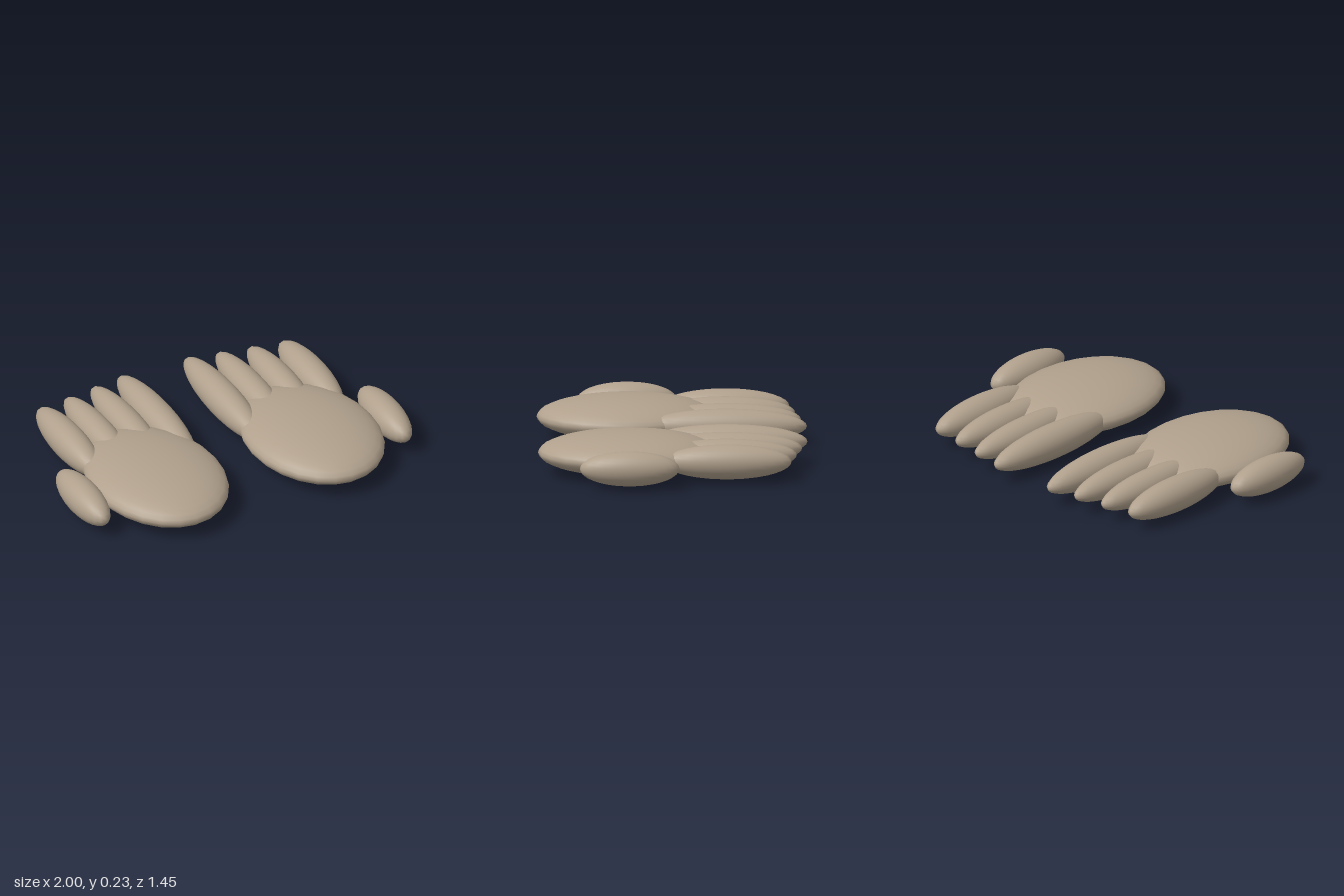
import * as THREE from 'three';

const skin = new THREE.MeshStandardMaterial({ color: 0xb0a08c });
skin.name = 'skin';

const MID_Y = 0.113;

// Smooth ellipsoid given its centre and half sizes
function ellipsoid(name, x, z, rx, ry, rz) {
  const geometry = new THREE.SphereGeometry(1, 24, 18);
  geometry.scale(rx, ry, rz);
  const mesh = new THREE.Mesh(geometry, skin);
  mesh.name = name;
  mesh.position.set(x, MID_Y, z);
  return mesh;
}

// One hand; side is +1 for the left, -1 for the right
function makeHand(name, side) {
  const hand = new THREE.Group();
  hand.name = name;

  // Broad flat palm
  hand.add(ellipsoid('palm', side * 0.468, 0.232, 0.364, 0.113, 0.49));

  // Four fingers, shortening outward: name, x, radius, half length
  const fingers = [
    ['innerFinger', 0.2, 0.094, 0.435],
    ['secondFinger', 0.375, 0.088, 0.405],
    ['thirdFinger', 0.55, 0.088, 0.375],
    ['outerFinger', 0.727, 0.094, 0.345],
  ];
  for (const [label, x, r, length] of fingers) {
    hand.add(ellipsoid(label, side * x, -0.29, r, r, length));
  }

  // Thumb lying along the outer edge of the palm
  hand.add(ellipsoid('thumb', side * 0.906, 0.234, 0.094, 0.094, 0.267));
  return hand;
}

export function createModel() {
  const model = new THREE.Group();
  model.name = 'pairOfHands';
  model.add(makeHand('leftHand', 1), makeHand('rightHand', -1));
  return model;
}
